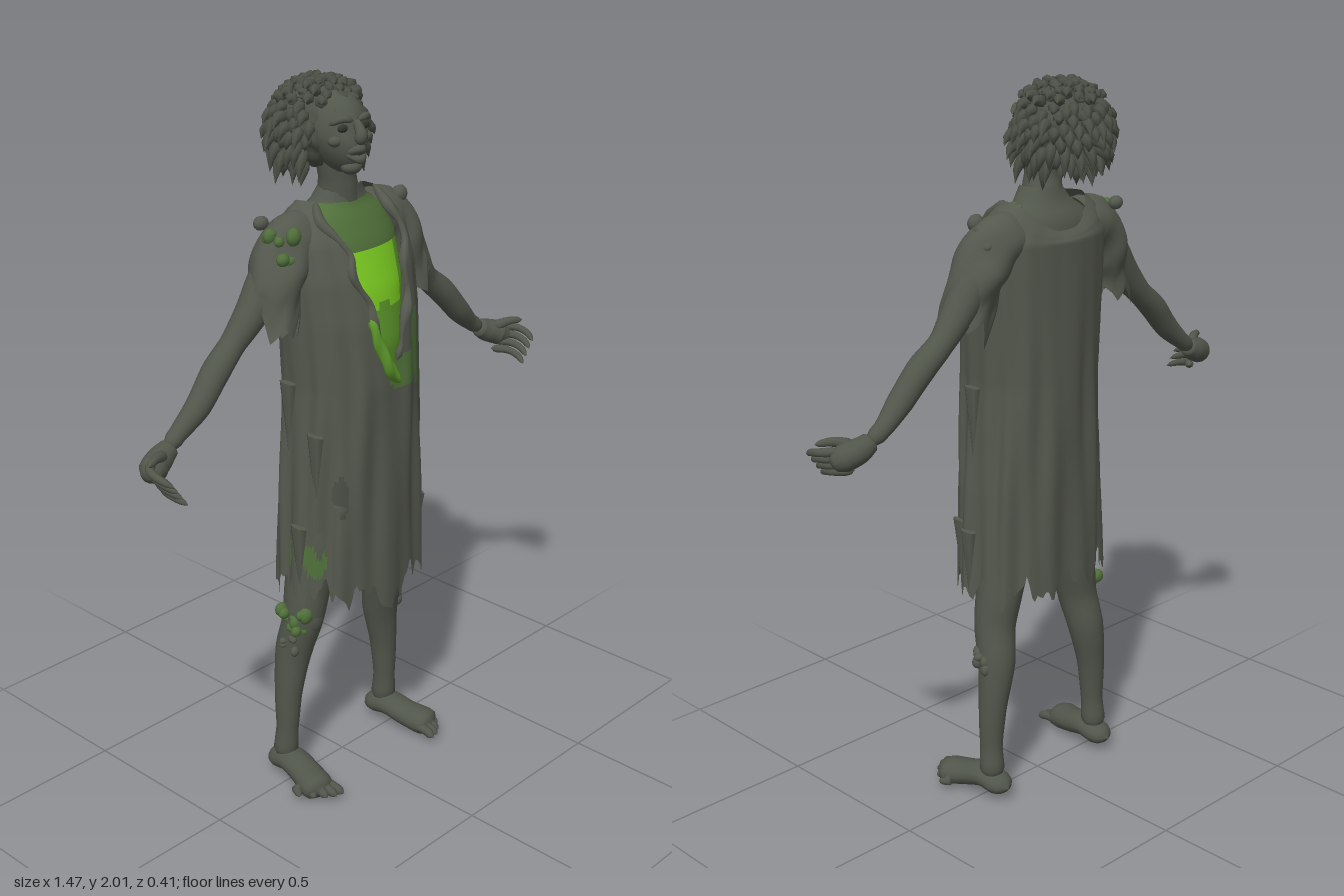
import * as THREE from 'three';
import { mergeVertices, mergeGeometries } from 'three/addons/utils/BufferGeometryUtils.js';

const mat = (name, color, open) => {
  const m = new THREE.MeshStandardMaterial({ color, side: open ? THREE.DoubleSide : THREE.FrontSide });
  m.name = name;
  return m;
};
let seed = 7;
const rnd = () => (seed = (seed * 16807) % 2147483647) / 2147483647;
const tri = (a) => 2 * Math.abs(a - Math.floor(a) - 0.5);
const { lerp, clamp, smoothstep } = THREE.MathUtils;
const TAU = Math.PI * 2;

// weld seams and compute smooth normals
function smooth(geo) {
  geo.deleteAttribute('uv');
  geo.deleteAttribute('normal');
  const g = mergeVertices(geo, 1e-5);
  g.computeVertexNormals();
  return g;
}

// rounded tapering tube through [x, y, z, radius] points
function limb(pts, { seg = 24, sides = 14, sy = 1, open = false, rag = 0, lump = 0 } = {}) {
  const curve = new THREE.CatmullRomCurve3(pts.map((p) => new THREE.Vector3(p[0], p[1], p[2])));
  const geo = new THREE.TubeGeometry(curve, seg, 1, sides);
  const pos = geo.attributes.position, p = new THREE.Vector3();
  for (let i = 0; i <= seg; i++) {
    const u = i / seg, c = curve.getPointAt(u), tan = curve.getTangentAt(u);
    const t = curve.getUtoTmapping(u) * (pts.length - 1), k = Math.min(Math.floor(t), pts.length - 2);
    const e = Math.min(i, seg - i);
    let r = lerp(pts[k][3], pts[k + 1][3], t - k);
    if (!open) r *= e === 0 ? 0.02 : e === 1 ? 0.75 : 1;
    for (let j = 0; j <= sides; j++) {
      const n = i * (sides + 1) + j, a = (j % sides) / sides;
      const rr = r * (1 + lump * (Math.sin(a * TAU * 4 + u * 3) * 0.5 + Math.sin(a * TAU * 2 + u * 14) * 0.5));
      p.fromBufferAttribute(pos, n).sub(c).multiplyScalar(rr);
      p.y *= sy;
      p.add(c).addScaledVector(tan, rag * Math.max(0, u - 0.6) * (tri(a * 7) + tri(a * 3 + 0.3) - 1));
      pos.setXYZ(n, p.x, p.y, p.z);
    }
  }
  return smooth(geo);
}

// grid surface with a material index per face (-1 leaves a tear)
function surface(nu, nv, f, pick) {
  const pos = [], lists = [[], [], [], []];
  for (let i = 0; i <= nv; i++) for (let j = 0; j <= nu; j++) pos.push(...f(j / nu, i / nv));
  for (let i = 0; i < nv; i++) for (let j = 0; j < nu; j++) {
    const a = i * (nu + 1) + j, c = a + nu + 1;
    const m = pick(...f((j + 0.5) / nu, (i + 0.5) / nv));
    if (m >= 0) lists[m].push(a, c, a + 1, a + 1, c, c + 1);
  }
  const geo = new THREE.BufferGeometry();
  geo.setAttribute('position', new THREE.Float32BufferAttribute(pos, 3));
  geo.setIndex(lists.flat());
  let start = 0;
  lists.forEach((l, m) => { if (l.length) geo.addGroup(start, l.length, m); start += l.length; });
  return smooth(geo);
}

// [y, half width, half depth, z centre] sections, read at any height
const tunicRings = [[1.69, 0.125, 0.07, -0.03], [1.665, 0.16, 0.09, -0.03], [1.6, 0.2, 0.118, -0.012], [1.5, 0.205, 0.137, 0.008],
  [1.38, 0.2, 0.148, 0.02], [1.2, 0.193, 0.153, 0.027], [0.9, 0.212, 0.152, 0.026], [0.5, 0.228, 0.152, 0.026]];
const torsoRings = [[1.72, 0.055, 0.05, -0.01], [1.68, 0.085, 0.058, -0.015], [1.64, 0.145, 0.085, -0.018], [1.58, 0.17, 0.105, -0.01],
  [1.45, 0.175, 0.12, 0.008], [1.3, 0.165, 0.13, 0.015], [1.0, 0.16, 0.11, 0.01], [0.72, 0.15, 0.08, 0.01]];
function section(rings, y) {
  if (y >= rings[0][0]) return rings[0];
  for (let i = 1; i < rings.length; i++) {
    const a = rings[i - 1], b = rings[i];
    if (y >= b[0]) return a.map((v, k) => lerp(v, b[k], (a[0] - y) / (a[0] - b[0])));
  }
  return rings[rings.length - 1];
}
const bulge = (s, e) => Math.sign(s) * Math.abs(s) ** e;

function tunicPoint(u, v) {
  const y0 = lerp(1.69, 0.62, v), [, rx0] = section(tunicRings, y0);
  // V opening down the chest
  const half = 0.12 * clamp((y0 - 1.23) / 0.38, 0, 1) ** 0.75 * (1 + 0.12 * Math.sin(y0 * 45 + u * 3));
  const gap = Math.asin(Math.min(0.96, (half / rx0) ** 1.2));
  const th = gap + u * (TAU - 2 * gap), w = th / TAU, front = Math.max(0, Math.cos(th));
  const jag = 0.06 * tri(w * 9) + 0.05 * tri(w * 23 + 0.3) + 0.03 * tri(w * 41) + 0.05 * front ** 12 - 0.07;
  const y = y0 - jag * smoothstep(v, 0.75, 1) - 0.07 * Math.max(0, -Math.cos(th)) ** 2 * (1 - smoothstep(v, 0, 0.12));
  const [, rx, rz, zc] = section(tunicRings, y0);
  const amp = 0.012 + 0.035 * smoothstep(v, 0.1, 0.8);
  const fold = 1 + amp * (0.6 * Math.sin(th * 9 + 2 * Math.sin(y * 3)) + 0.45 * Math.sin(th * 17 + y * 2 + 1));
  return [rx * fold * bulge(Math.sin(th), 0.85) + 0.008 * front, y, zc + rz * fold * bulge(Math.cos(th), 0.85)];
}

// lumpy cluster of small blobs
function clump(x, y, z, size, n) {
  const parts = [];
  for (let i = 0; i < n; i++) {
    const g = new THREE.IcosahedronGeometry(size * (0.35 + 0.3 * rnd()), 1);
    g.scale(1, 0.6 + 0.6 * rnd(), 0.8);
    g.translate(x + (rnd() - 0.5) * size * 1.3, y + (rnd() - 0.5) * size * 1.9, z + (rnd() - 0.5) * size * 1.8);
    parts.push(smooth(g));
  }
  return mergeGeometries(parts);
}

export function createModel() {
  const cloth = mat('ragged cloth', 0x54584d, true), skin = mat('skin', 0x51564b), hairMat = mat('hair', 0x4b4f45);
  const dark = mat('dark hollows', 0x31352d), moss = mat('dull moss', 0x50703a, true);
  const glow = mat('green glow', 0x5f9a2c), bright = mat('bright glow', 0x7ed022);
  const root = new THREE.Group();
  const add = (name, geo, m, parent = root) => {
    const mesh = new THREE.Mesh(geo, m);
    mesh.name = name;
    parent.add(mesh);
    return mesh;
  };
  const blob = (name, m, parent, [x, y, z], [sx, sy, sz]) => {
    const b = add(name, new THREE.SphereGeometry(1, 16, 12), m, parent);
    b.position.set(x, y, z);
    b.scale.set(sx, sy, sz);
  };

  // torso with glowing chest
  add('torso', surface(48, 50, (u, v) => {
    const y = lerp(1.72, 0.72, v), [, rx, rz, zc] = section(torsoRings, y), th = u * TAU;
    return [rx * Math.sin(th), y, zc + rz * bulge(Math.cos(th), 0.85)];
  }, (x, y, z) => {
    if (z < 0 || y > 1.675 || y < 1.2) return 0;
    if (Math.abs(x - 0.025) < 0.085 && y > 1.41 + 0.02 * Math.sin(x * 60) && y < 1.565) return 3;
    return y < 1.565 ? 2 : 1;
  }), [skin, moss, glow, bright]);

  // tunic, torn and mossy in places
  const inside = (x, y, cx, cy, rx, ry) => ((x - cx) / rx) ** 2 + ((y - cy) / ry) ** 2 < 1;
  add('tunic', surface(150, 70, tunicPoint, (x, y, z) => {
    if (z > 0 && (inside(x, y, -0.15, 0.91, 0.016, 0.06) || inside(x, y, -0.195, 0.77, 0.012, 0.04))) return -1;
    const patch = inside(x, y, 0.06, 1.23, 0.07, 0.05) || inside(x, y, 0.12, 1.32, 0.03, 0.06)
      || inside(x, y, 0.13, 1.22, 0.02, 0.05) || inside(x, y, -0.2, 0.72, 0.02, 0.05);
    return z > 0 && patch ? 1 : 0;
  }), [cloth, moss]);
  for (const u of [0, 1]) {
    const pts = [];
    for (let v = 0; v <= 0.41; v += 0.04) pts.push([...tunicPoint(u, v), 0.011 + 0.005 * Math.sin(v * 50)]);
    add('torn lapel', limb(pts, { seg: 40, sides: 8, lump: 0.3 }), cloth);
  }
  add('opening tip moss', limb([[-0.07, 1.4, 0.165, 0.01], [-0.045, 1.33, 0.173, 0.016], [-0.01, 1.25, 0.182, 0.016], [0.03, 1.2, 0.182, 0.008]], { lump: 0.3 }), glow);

  // hanging rags
  for (const [x, y, z, l] of [[-0.225, 0.72, 0.05, 0.2], [0.228, 0.7, 0.04, 0.18], [0.2, 0.72, 0.1, 0.16], [-0.2, 0.98, 0.09, 0.22], [0.215, 1.1, 0.03, 0.2], [-0.21, 1.12, 0, 0.2]]) {
    const rag = add('hanging rag', new THREE.ConeGeometry(0.03, l, 6), cloth);
    rag.position.set(x, y, z);
    rag.rotation.x = Math.PI;
    rag.scale.x = 0.4;
  }

  for (const s of [1, -1]) {
    const side = s > 0 ? 'left' : 'right';
    const m = (pts) => pts.map(([x, ...r]) => [x * s, ...r]);
    // sleeve and arm
    add(side + 'Sleeve', limb(m([[0.1, 1.61, -0.025, 0.06], [0.17, 1.595, -0.025, 0.075], [0.225, 1.53, -0.015, 0.077], [0.25, 1.45, -0.005, 0.07], [0.265, 1.39, 0, 0.07]]),
      { open: true, rag: 0.13, lump: 0.09, sides: 42, seg: 30 }), cloth);
    add(side + 'Arm', limb(m([[0.15, 1.58, -0.025, 0.05], [0.24, 1.52, -0.025, 0.055], [0.31, 1.435, -0.025, 0.045], [0.375, 1.365, -0.03, 0.034], [0.44, 1.31, -0.025, 0.038],
      [0.51, 1.235, -0.02, 0.034], [0.575, 1.18, -0.025, 0.024], [0.62, 1.15, -0.02, 0.024]]), { seg: 36 }), skin);
    // hand
    add(side + 'Palm', limb(m([[0.6, 1.16, -0.02, 0.024], [0.64, 1.14, -0.015, 0.034], [0.68, 1.125, 0, 0.037], [0.705, 1.11, 0.02, 0.02]])), skin);
    for (let i = 0; i < 4; i++) {
      const x = 0.706 - 0.014 * i, y = 1.145 - 0.02 * i;
      add(side + 'Finger', limb(m([[x - 0.02, y, 0, 0.014], [x + 0.012, y - 0.004, 0.035, 0.012], [x + 0.014, y - 0.013, 0.075, 0.01], [x, y - 0.027, 0.108, 0.007]]), { seg: 12, sides: 8 }), skin);
    }
    add(side + 'Thumb', limb(m([[0.645, 1.15, 0, 0.018], [0.69, 1.165, 0.025, 0.013], [0.733, 1.163, 0.045, 0.008]]), { seg: 12, sides: 8 }), skin);
    // leg and foot
    add(side + 'Leg', limb(m([[0.09, 0.88, 0.015, 0.08], [0.115, 0.72, 0.015, 0.08], [0.145, 0.6, 0.005, 0.066], [0.165, 0.5, 0.003, 0.058], [0.18, 0.4, -0.018, 0.053],
      [0.2, 0.27, -0.022, 0.04], [0.207, 0.15, -0.022, 0.032], [0.21, 0.04, -0.03, 0.038]]), { seg: 40, sides: 18 }), skin);
    blob(side + 'Knee', skin, root, [0.163 * s, 0.51, 0.035], [0.037, 0.05, 0.03]);
    add(side + 'Foot', limb(m([[0.207, 0.035, -0.09, 0.025], [0.207, 0.04, -0.05, 0.042], [0.21, 0.05, 0, 0.045], [0.218, 0.037, 0.06, 0.046], [0.232, 0.026, 0.115, 0.05], [0.24, 0.02, 0.15, 0.042]]), { sy: 0.75 }), skin);
    for (let i = 0; i < 5; i++) {
      const x = 0.198 + 0.019 * i, z = 0.19 - 0.005 * i * i;
      add(side + 'Toe', limb(m([[x, 0.025, 0.1, 0.015], [x + 0.002, 0.022, z - 0.03, 0.014], [x + 0.005 * i - 0.004, 0.014, z, 0.013 - 0.001 * i]]), { seg: 10, sides: 8 }), skin);
    }
    add('shoulder tatters', clump(0.215 * s, 1.61, -0.03, 0.045, 8), cloth);
  }

  // moss and scraps
  add('shoulder moss', clump(-0.235, 1.6, 0.01, 0.035, 12), moss);
  add('knee moss', clump(-0.215, 0.52, 0.01, 0.04, 14), moss);
  add('collar moss', clump(0.1, 1.66, -0.03, 0.02, 9), moss);
  add('leg scrap', clump(0.215, 0.41, -0.01, 0.03, 8), cloth);
  add('calf scrap', clump(-0.215, 0.44, 0.01, 0.025, 7), cloth);

  // neck and head
  add('neck', limb([[0, 1.62, -0.02, 0.07], [-0.005, 1.68, -0.012, 0.058], [-0.015, 1.74, -0.005, 0.05], [-0.03, 1.84, -0.01, 0.055]]), skin);
  const head = new THREE.Group();
  head.name = 'head';
  head.position.set(-0.035, 1.865, 0);
  head.rotation.y = -0.15;
  root.add(head);
  const skull = new THREE.SphereGeometry(1, 32, 24), sp = skull.attributes.position;
  for (let i = 0; i < sp.count; i++) {
    const x = sp.getX(i), y = sp.getY(i), z = sp.getZ(i), low = Math.max(0, -y);
    const socket = Math.exp(-((Math.abs(x) - 0.4) ** 2 + (y - 0.2) ** 2) / 0.03) * (z > 0 ? 0.13 : 0);
    sp.setXYZ(i, x * 0.083 * (1 - 0.3 * low), y * 0.105, z * (0.102 - 0.1 * socket) + (z > 0 ? 0.028 : 0.05) * low);
  }
  add('face', smooth(skull), skin, head);
  add('nose', limb([[0, 0.04, 0.09, 0.01], [0, 0.02, 0.108, 0.013], [0, 0, 0.115, 0.017], [0, -0.014, 0.1, 0.014]], { seg: 14, sides: 10 }), skin, head);
  for (const y of [-0.03, -0.058]) add('lip', limb([[-0.032, -0.044, 0.085, 0.006], [0, y, 0.112, 0.012], [0.032, -0.044, 0.085, 0.006]], { seg: 14, sides: 8 }), skin, head);
  blob('mouth', dark, head, [0, -0.044, 0.098], [0.026, 0.01, 0.012]);
  blob('chin', skin, head, [0, -0.083, 0.075], [0.03, 0.02, 0.024]);
  for (const s of [1, -1]) {
    blob('eye', dark, head, [0.033 * s, 0.02, 0.083], [0.017, 0.01, 0.008]);
    blob('cheek', skin, head, [0.045 * s, -0.012, 0.07], [0.024, 0.016, 0.018]);
    add('brow', limb([[0.008 * s, 0.038, 0.093, 0.008], [0.035 * s, 0.045, 0.088, 0.01], [0.065 * s, 0.03, 0.063, 0.007]], { seg: 10, sides: 8 }), skin, head);
    blob('ear', skin, head, [0.085 * s, -0.005, 0.005], [0.012, 0.03, 0.018]);
  }

  // matted hair: lumpy cap plus curved tufts
  const cap = new THREE.SphereGeometry(1, 40, 28), cp = cap.attributes.position;
  for (let i = 0; i < cp.count; i++) {
    const x = cp.getX(i), y = cp.getY(i), z = cp.getZ(i);
    const r = 1 + 0.05 * Math.sin(x * 13 + y * 5) * Math.sin(y * 12 + z * 7) + 0.03 * Math.sin(z * 21 + x * 9);
    cp.setXYZ(i, -0.037 + x * r * 0.112, 1.872 + y * r * 0.112, -0.055 + z * r * 0.108);
  }
  add('hair cap', smooth(cap), hairMat);
  const tufts = [];
  for (let i = 0; i < 190; i++) {
    const ny = 1 - 1.75 * (i + 0.5) / 190, a = i * 2.39996, q = Math.sqrt(1 - ny * ny);
    const nx = q * Math.sin(a), nz = q * Math.cos(a);
    if (nz > 0.42 && ny < 0.55 && Math.abs(nx) < 0.75) continue;
    const p = [-0.037 + nx * 0.105, 1.872 + ny * 0.105, -0.055 + nz * 0.1];
    const l = 0.035 + 0.03 * rnd(), sw = (rnd() - 0.5) * 0.05, out = 0.024 + 0.012 * rnd();
    const drop = ny > 0.6 ? 0.2 : ny < -0.2 ? 1.15 : 0.8;
    tufts.push(limb([[...p, 0.02], [p[0] + nx * out + sw * 0.4, p[1] + ny * out * 0.7 - l * 0.35 * drop, p[2] + nz * out, 0.014],
      [p[0] + nx * out * 1.35 + sw, p[1] + ny * out * 0.6 - l * drop, p[2] + nz * out * 1.2 - sw * 0.5, 0.002]], { seg: 6, sides: 6 }));
  }
  add('hair tufts', mergeGeometries(tufts), hairMat);
  return root;
}
